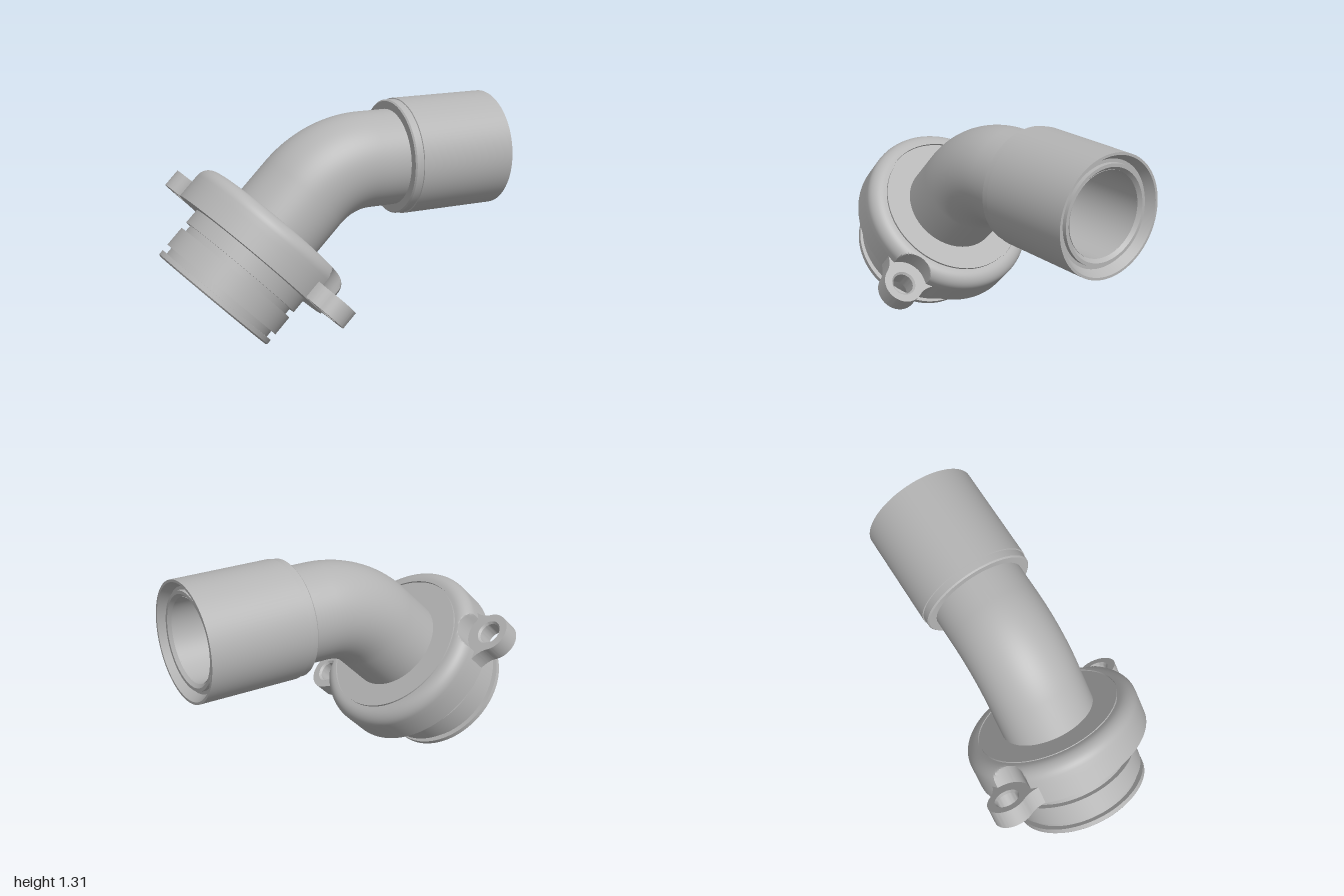
import * as THREE from 'three';
import { toCreasedNormals } from 'three/addons/utils/BufferGeometryUtils.js';

const grey = new THREE.MeshStandardMaterial({ color: 0xb4b4b4, side: THREE.DoubleSide });
grey.name = 'grey metal';

const LUG_DIST = 0.58, LUG_TOP = 0.436, NOTCH = 0.135;
const LUG_ANGLE = Math.atan2(0.47, 0.343);

function mesh(name, geometry) {
  const m = new THREE.Mesh(geometry, grey);
  m.name = name;
  return m;
}

function lathe(points, segments = 96) {
  return new THREE.LatheGeometry(points.map(([r, y]) => new THREE.Vector2(r, y)), segments);
}

const crease = (g) => toCreasedNormals(g, 0.5);

// Flange ring with a rounded shoulder, notched for screw heads above each lug
function flangeGeometry() {
  const f = 0.075;
  const profile = [[0.36, 0.325], [0.51, 0.325], [0.51, LUG_TOP - 0.002], [0.51, LUG_TOP + 0.001]];
  for (let i = 0; i <= 10; i++) {
    const a = (i / 10) * Math.PI / 2;
    profile.push([0.51 - f + f * Math.cos(a), 0.55 - f + f * Math.sin(a)]);
  }
  profile.push([0.422, 0.55], [0.422, 0.538], [0.414, 0.538], [0.414, 0.55], [0.24, 0.55]);
  const g = lathe(profile, 288);
  const p = g.attributes.position;
  for (let i = 0; i < p.count; i++) {
    if (p.getY(i) < LUG_TOP) continue;
    const x = p.getX(i), z = p.getZ(i), r = Math.hypot(x, z);
    for (const turn of [0, Math.PI]) {
      const d = Math.atan2(z, x) - LUG_ANGLE - turn;
      const side = LUG_DIST * Math.sin(d);
      if (Math.cos(d) < 0 || Math.abs(side) >= NOTCH) continue;
      const limit = LUG_DIST * Math.cos(d) - Math.sqrt(NOTCH * NOTCH - side * side);
      if (r > limit) {
        p.setX(i, x * limit / r);
        p.setZ(i, z * limit / r);
      }
    }
  }
  return crease(g);
}

// Ear with a screw hole, flaring into the flange
function lug(name, turn) {
  const group = new THREE.Group();
  group.name = name;
  const s = new THREE.Shape();
  s.moveTo(0.43, -0.22);
  s.quadraticCurveTo(0.5, -0.115, LUG_DIST, -0.115);
  s.absarc(LUG_DIST, 0, 0.115, -Math.PI / 2, Math.PI / 2, false);
  s.quadraticCurveTo(0.5, 0.115, 0.43, 0.22);
  s.closePath();
  const hole = new THREE.Path();
  hole.absarc(LUG_DIST, 0, 0.071, 0, Math.PI * 2, true);
  s.holes.push(hole);
  const g = new THREE.ExtrudeGeometry(s, { depth: 0.107, bevelEnabled: false, curveSegments: 24 });
  g.rotateX(-Math.PI / 2).translate(0, 0.33, 0);
  group.add(mesh('ear', crease(g)));
  const bore = mesh('screwHole', crease(lathe(
    [[0.071, 0.33], [0.06, 0.33], [0.06, 0.425], [0.071, 0.437]], 48)));
  bore.position.x = LUG_DIST;
  group.add(bore);
  group.rotation.y = -LUG_ANGLE + turn;
  return group;
}

// Centre line of the elbow: straight, 45 degree bend, straight
function elbowPath(startS, endX) {
  const h = Math.SQRT1_2, R = 0.53, k = 0.1406;
  const v = (x, y) => new THREE.Vector3(x, y, 0);
  const b0 = v(0.2 - R * h, 0.45 + R * h), b1 = v(0.2, 0.98);
  const path = new THREE.CurvePath();
  path.add(new THREE.LineCurve3(v(-0.725 + startS * h, 0.275 + startS * h), b0));
  path.add(new THREE.CubicBezierCurve3(b0, v(b0.x + k * h, b0.y + k * h), v(b1.x - k, b1.y), b1));
  path.add(new THREE.LineCurve3(b1, v(endX, 0.98)));
  return path;
}

export function createModel() {
  const model = new THREE.Group();
  model.name = 'pipeElbow';

  // Tilted connector end
  const connector = new THREE.Group();
  connector.name = 'connector';
  connector.position.set(-0.725, 0.275, 0);
  connector.rotation.z = -Math.PI / 4;
  connector.add(mesh('flange', flangeGeometry()));
  connector.add(mesh('spigot', crease(lathe([
    [0.233, 0.4], [0.32, 0.32], [0.33, 0.02], [0.345, 0], [0.38, 0], [0.389, 0.008],
    [0.389, 0.035], [0.36, 0.035], [0.36, 0.075], [0.389, 0.075], [0.389, 0.195],
    [0.36, 0.195], [0.36, 0.235], [0.389, 0.235], [0.389, 0.326],
  ]))));
  connector.add(lug('frontLug', 0), lug('backLug', Math.PI));
  model.add(connector);

  // Bent pipe, outer wall and bore
  model.add(mesh('pipe', new THREE.TubeGeometry(elbowPath(0.5, 0.4), 80, 0.275, 72)));
  model.add(mesh('pipeBore', new THREE.TubeGeometry(elbowPath(0.4, 0.955), 80, 0.233, 72)));

  // Horizontal sleeve with a stepped, chamfered mouth
  const sleeve = mesh('sleeve', crease(lathe([
    [0.27, 0.37], [0.32, 0.37], [0.328, 0.378], [0.328, 0.42], [0.334, 0.422], [0.334, 1],
    [0.32, 1], [0.29, 0.95], [0.272, 0.95], [0.27, 0.972], [0.252, 0.972], [0.233, 0.95],
  ])));
  sleeve.rotation.z = -Math.PI / 2;
  sleeve.position.y = 0.98;
  model.add(sleeve);

  return model;
}
